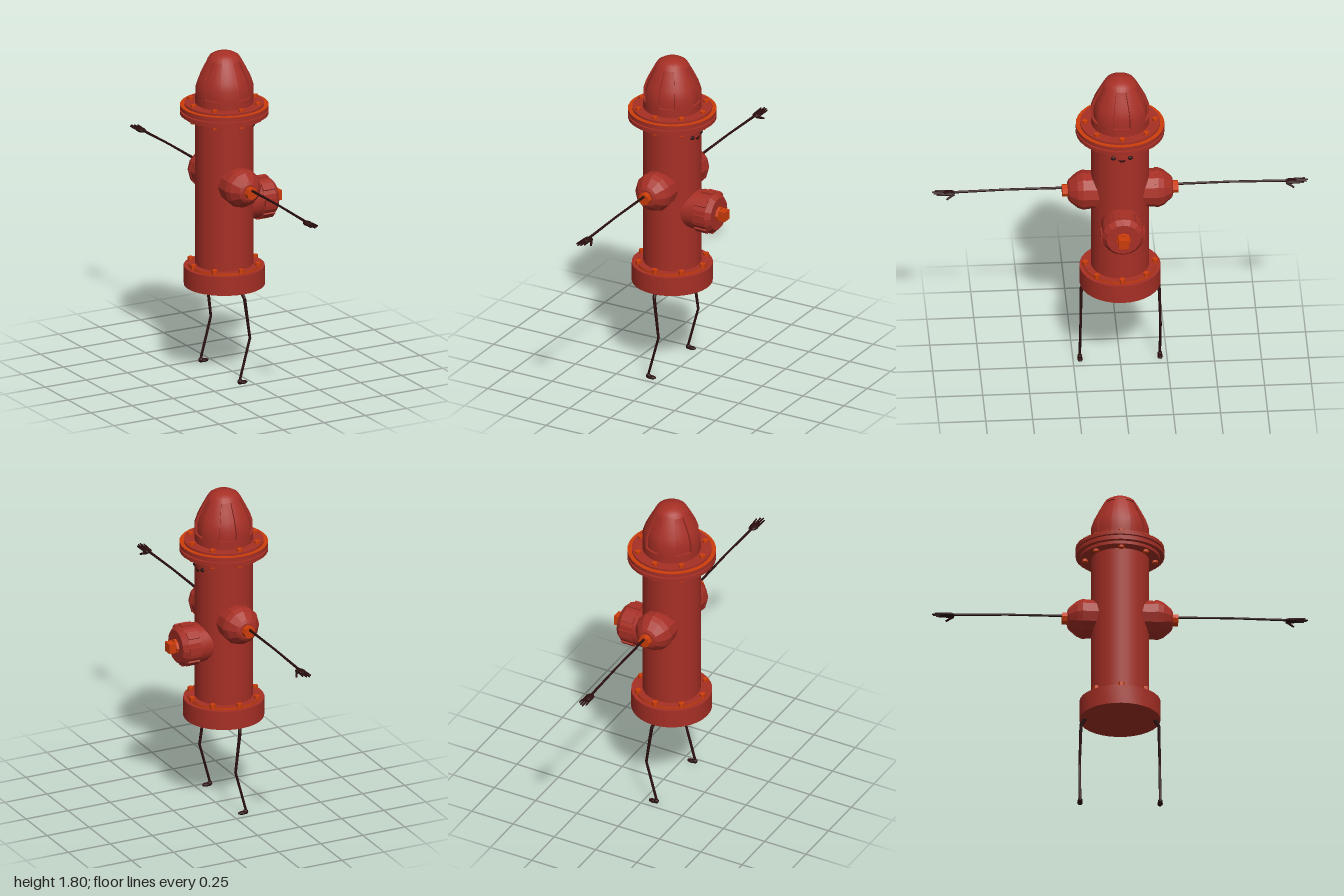
import * as THREE from 'three';
import { toCreasedNormals } from 'three/addons/utils/BufferGeometryUtils.js';

const red = new THREE.MeshStandardMaterial({ name: 'hydrant red', color: 0xa62f25, side: THREE.DoubleSide });
const orange = new THREE.MeshStandardMaterial({ name: 'bolt orange', color: 0xcc3d0a });
const dark = new THREE.MeshStandardMaterial({ name: 'limb dark', color: 0x2a0e0d });

const V = (x, y, z) => new THREE.Vector3(x, y, z);
const V2 = ([x, y]) => new THREE.Vector2(x, y);

function add(parent, name, geometry, material, x = 0, y = 0, z = 0) {
  const m = new THREE.Mesh(geometry, material);
  m.name = name;
  m.position.set(x, y, z);
  parent.add(m);
  return m;
}
function group(parent, name) {
  const g = new THREE.Group();
  g.name = name;
  parent.add(g);
  return g;
}
// Turned part with crisp rims
function turned(points, sides = 32, start = 0, length = Math.PI * 2, crease = 0.5) {
  return toCreasedNormals(new THREE.LatheGeometry(points.map(V2), sides, start, length), crease);
}
// Straight limb between two points
function rod(parent, name, a, b, ra, rb) {
  const dir = b.clone().sub(a);
  const m = add(parent, name, new THREE.CylinderGeometry(rb, ra, dir.length(), 8), dark);
  m.position.copy(a).add(b).multiplyScalar(0.5);
  m.quaternion.setFromUnitVectors(V(0, 1, 0), dir.normalize());
  return m;
}
function boltRing(parent, name, radius, y) {
  for (let i = 0; i < 8; i++) {
    const a = i * Math.PI / 4;
    add(parent, name, toCreasedNormals(new THREE.CylinderGeometry(0.016, 0.016, 0.026, 6), 0.3), orange,
      radius * Math.cos(a), y, radius * Math.sin(a));
  }
}

// Domed top with five sunken panels
function bonnet(parent) {
  const g = group(parent, 'bonnet');
  const low = [[0.155, 1.5], [0.155, 1.56]];
  const mid = [[0.155, 1.615], [0.14, 1.66], [0.115, 1.71], [0.091, 1.755]];
  const top = [[0.078, 1.775], [0.055, 1.789], [0.028, 1.797], [0, 1.8]];
  const inset = [[0.142, 1.56], [0.142, 1.61], [0.127, 1.66], [0.102, 1.71], [0.082, 1.755]];
  const half = 17 * Math.PI / 180, step = Math.PI * 0.4;
  for (let i = 0; i < 5; i++) {
    const phi = Math.PI / 2 + i * step;
    add(g, 'bonnetRib', turned([...low, ...mid, ...top], 5, phi + half, step - 2 * half, 0.6), red);
    add(g, 'bonnetPanel', turned([...low, ...inset, mid[3], ...top], 4, phi - half, 2 * half, 0.6), red);
    const wall = new THREE.Shape([low[1], ...mid, ...inset.slice().reverse()].map(V2));
    for (const s of [-1, 1]) {
      add(g, 'panelEdge', new THREE.ShapeGeometry(wall), red).rotation.y = phi + s * half - Math.PI / 2;
    }
  }
}

// Faceted outlet with rim lugs, built along +y from the body axis
function sideOutlet(parent, s) {
  const g = group(parent, s > 0 ? 'leftOutlet' : 'rightOutlet');
  g.position.y = 1.088;
  g.rotation.x = s * Math.PI / 2;
  add(g, 'outletCap', turned([[0.103, 0.09], [0.103, 0.185], [0.107, 0.185], [0.107, 0.2], [0.095, 0.23],
    [0.06, 0.272], [0.045, 0.28], [0, 0.28]], 12, 0, Math.PI * 2, 0.3), red);
  add(g, 'outletNut', toCreasedNormals(new THREE.CylinderGeometry(0.033, 0.035, 0.034, 8), 0.3), orange, 0, 0.292, 0);
}

function frontOutlet(parent) {
  const g = group(parent, 'frontOutlet');
  g.position.y = 0.948;
  g.rotation.z = -Math.PI / 2;
  add(g, 'outletNeck', turned([[0.108, 0.09], [0.108, 0.19]], 24), red);
  add(g, 'outletCap', turned([[0.1, 0.185], [0.112, 0.185], [0.112, 0.258], [0.09, 0.285], [0, 0.285]], 16, 0, Math.PI * 2, 0.3), red);
  for (let i = 0; i < 8; i++) {
    const holder = group(g, 'capLug');
    holder.rotation.y = i * Math.PI / 4;
    add(holder, 'lug', new THREE.BoxGeometry(0.016, 0.07, 0.04), red, 0.109, 0.222, 0);
  }
  add(g, 'nutCollar', toCreasedNormals(new THREE.CylinderGeometry(0.038, 0.042, 0.014, 8), 0.3), orange, 0, 0.291, 0);
  add(g, 'squareNut', new THREE.BoxGeometry(0.054, 0.042, 0.054), orange, 0, 0.315, 0);
}

// Thin arm and open hand
function arm(parent, s) {
  const g = group(parent, s > 0 ? 'leftArm' : 'rightArm');
  rod(g, 'upperArm', V(0, 1.104, s * 0.29), V(0, 1.106, s * 0.6), 0.007, 0.006);
  rod(g, 'forearm', V(0, 1.106, s * 0.6), V(0, 1.1, s * 0.89), 0.006, 0.007);
  add(g, 'palm', new THREE.SphereGeometry(1, 12, 8), dark, 0, 1.097, s * 0.91).scale.set(0.024, 0.012, 0.035);
  const tips = [0.978, 0.993, 1, 0.985];
  tips.forEach((tip, i) => {
    const x = 0.019 - i * 0.0125;
    rod(g, 'finger', V(x * 0.9, 1.098, s * 0.925), V(x * 1.15, 1.099, s * tip), 0.006, 0.004);
  });
  rod(g, 'thumb', V(0.012, 1.095, s * 0.885), V(0.032, 1.076, s * 0.925), 0.008, 0.005);
}

// Bent thin leg and small shoe
function leg(parent, s) {
  const g = group(parent, s > 0 ? 'leftLeg' : 'rightLeg');
  const pts = [V(0, 0.505, s * 0.185), V(0.008, 0.47, s * 0.207), V(0.037, 0.25, s * 0.213), V(-0.024, 0.025, s * 0.213)];
  const r = [0.011, 0.009, 0.007, 0.007];
  const names = ['hip', 'thigh', 'shin'];
  names.forEach((n, i) => rod(g, n, pts[i], pts[i + 1], r[i], r[i + 1]));
  add(g, 'knee', new THREE.SphereGeometry(0.008, 8, 6), dark, 0.037, 0.25, s * 0.213);
  add(g, 'heel', new THREE.SphereGeometry(1, 10, 8), dark, -0.023, 0.014, s * 0.213).scale.set(0.015, 0.014, 0.013);
  add(g, 'foot', new THREE.SphereGeometry(1, 10, 8), dark, -0.005, 0.01, s * 0.213).scale.set(0.027, 0.01, 0.015);
}

export function createModel() {
  const root = new THREE.Group();
  root.name = 'hydrantFigure';
  const g = group(root, 'figure');
  g.position.x = -0.05;

  // Foot flange, barrel and upper flange
  add(g, 'base', turned([[0, 0.5], [0.216, 0.5], [0.216, 0.605], [0.15, 0.605]]), red);
  add(g, 'baseTrim', new THREE.CylinderGeometry(0.193, 0.193, 0.012, 32, 1, true), orange, 0, 0.611, 0);
  add(g, 'baseTopPlate', turned([[0.193, 0.617], [0.15, 0.617]]), red);
  boltRing(g, 'baseBolt', 0.186, 0.62);
  add(g, 'barrel', new THREE.CylinderGeometry(0.155, 0.155, 0.9, 32, 1, true), red, 0, 1.05, 0);
  add(g, 'upperFlange', turned([[0.15, 1.435], [0.213, 1.435], [0.213, 1.452], [0.236, 1.452], [0.236, 1.472],
    [0.222, 1.472], [0.222, 1.482], [0.236, 1.482], [0.236, 1.502], [0.213, 1.502], [0.213, 1.515], [0.14, 1.515]]), red);
  add(g, 'flangeTrim', turned([[0.236, 1.5025], [0.236, 1.504], [0.212, 1.504]]), orange);
  boltRing(g, 'flangeBolt', 0.187, 1.515);
  boltRing(g, 'flangeUnderBolt', 0.187, 1.435);
  bonnet(g);

  // Outlets and limbs
  frontOutlet(g);
  for (const s of [1, -1]) {
    sideOutlet(g, s);
    arm(g, s);
    leg(g, s);
  }

  // Face
  const face = group(g, 'face');
  for (const s of [1, -1]) {
    add(face, 'eye', new THREE.SphereGeometry(1, 12, 8), dark, 0.149, 1.378, s * 0.045).scale.set(0.009, 0.011, 0.014);
  }
  const smile = new THREE.Shape();
  smile.moveTo(-0.02, 0.006);
  smile.quadraticCurveTo(0, 0.002, 0.02, 0.006);
  smile.quadraticCurveTo(0, -0.022, -0.02, 0.006);
  const mouth = add(face, 'mouth', new THREE.ExtrudeGeometry(smile, { depth: 0.008, bevelEnabled: false }), dark, 0.15, 1.363, 0);
  mouth.rotation.y = Math.PI / 2;
  return root;
}
